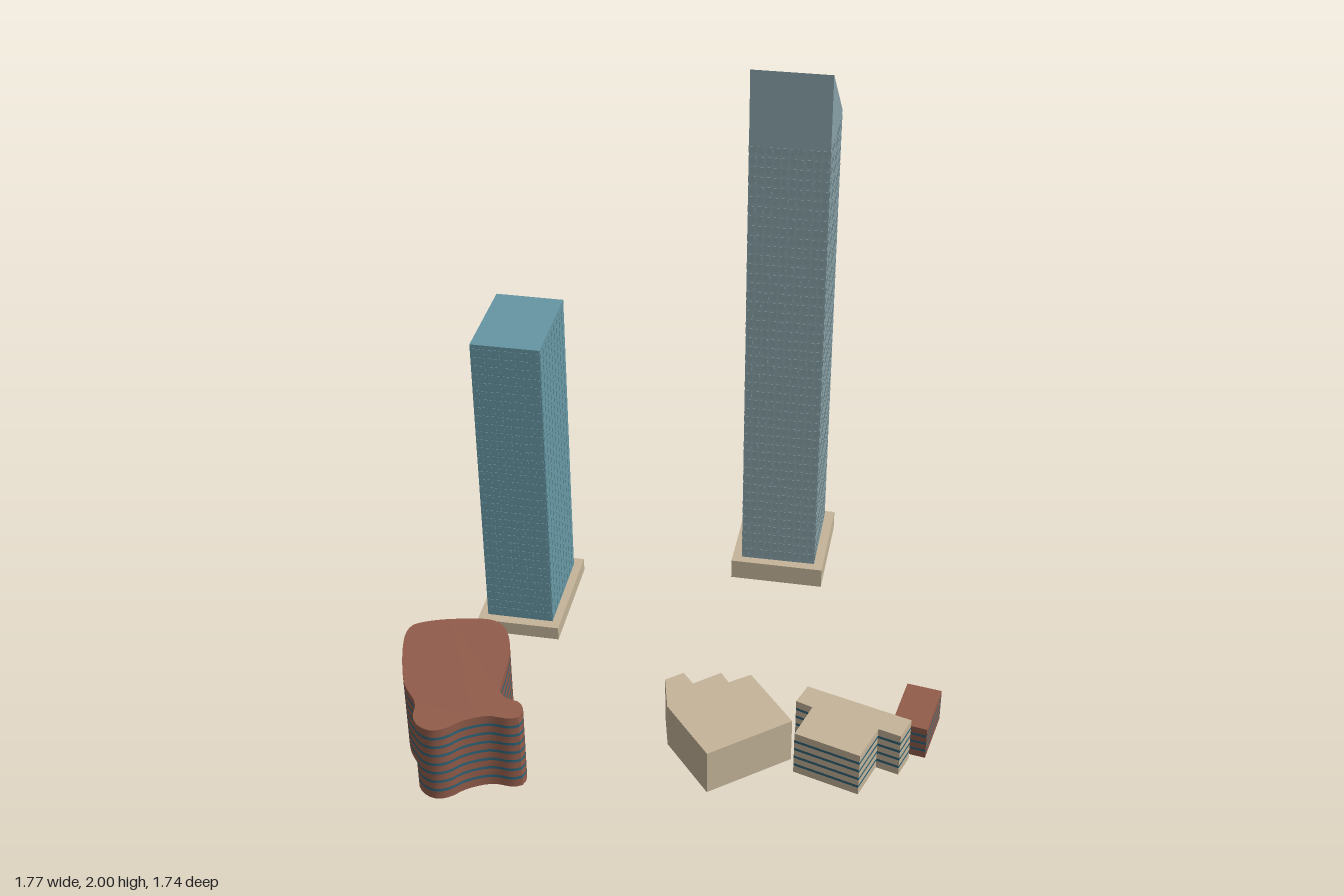
import * as THREE from 'three';
import { mergeGeometries, toCreasedNormals } from 'three/addons/utils/BufferGeometryUtils.js';

const paint = (color) => new THREE.MeshStandardMaterial({ color });
const brick = paint(0x915c4a), stone = paint(0xc4b499), glass = paint(0x2f6478);

function part(parent, name, geometry, material) {
  const mesh = new THREE.Mesh(geometry, material);
  mesh.name = name;
  parent.add(mesh);
  return mesh;
}

// Plan outlines are lists of [x, z]; returned counter-clockwise seen from above.
function outline(plan) {
  const pts = plan.map(([x, z]) => new THREE.Vector2(x, -z));
  return THREE.ShapeUtils.area(pts) < 0 ? pts.reverse() : pts;
}

// Solid block on the ground, optionally with a hole in plan.
function prism(plan, height, hole) {
  const shape = new THREE.Shape(outline(plan));
  if (hole) shape.holes.push(new THREE.Path(outline(hole)));
  return new THREE.ExtrudeGeometry(shape, { depth: height, bevelEnabled: false }).rotateX(-Math.PI / 2);
}

// Strip of outer wall between two heights.
function wall(pts, y0, y1) {
  const pos = [];
  pts.forEach((a, i) => {
    const b = pts[(i + 1) % pts.length];
    pos.push(a.x, y0, -a.y, b.x, y0, -b.y, b.x, y1, -b.y);
    pos.push(a.x, y0, -a.y, b.x, y1, -b.y, a.x, y1, -a.y);
  });
  const g = new THREE.BufferGeometry();
  g.setAttribute('position', new THREE.Float32BufferAttribute(pos, 3));
  g.computeVertexNormals();
  return toCreasedNormals(g, 0.5);
}

// Low building with a ribbon of windows at every floor line.
function bandedBuilding(name, plan, height, floors, material) {
  const group = new THREE.Group();
  group.name = name;
  const pts = outline(plan), step = height / floors, half = step * 0.15;
  const walls = [], ribbons = [];
  for (let i = 0; i < floors; i++) {
    const low = i ? i * step + half : 0;
    const high = i < floors - 1 ? (i + 1) * step - half : height;
    walls.push(wall(pts, low, high));
    if (i) ribbons.push(wall(pts, i * step - half, i * step + half));
  }
  part(group, 'walls', mergeGeometries(walls), material);
  part(group, 'windowRibbons', mergeGeometries(ribbons), glass);
  const shape = new THREE.Shape(pts);
  const roof = new THREE.ShapeGeometry(shape).rotateX(-Math.PI / 2).translate(0, height, 0);
  part(group, 'roof', roof, material);
  part(group, 'floor', new THREE.ShapeGeometry(shape).rotateX(Math.PI / 2).scale(1, 1, -1), material)
    .geometry = flip(new THREE.ShapeGeometry(shape).rotateX(-Math.PI / 2));
  return group;
}

// Turn a flat sheet over so that it faces down.
function flip(g) {
  g.index.array.reverse();
  g.computeVertexNormals();
  return g;
}

// Tower: shaft with thin window panels, standing in a stone plinth.
// Corners run back left, back right, front right, front left.
function tower(name, o) {
  const group = new THREE.Group();
  group.name = name;
  part(group, 'plinth', prism(o.base, o.baseHeight, o.plan), stone);

  const shaft = prism(o.plan, o.backHeight);
  const p = shaft.attributes.position;
  const middle = (o.plan[0][1] + o.plan[2][1]) / 2;
  for (let i = 0; i < p.count; i++) {
    if (p.getY(i) > 0.1 && p.getZ(i) > middle) p.setY(i, o.frontHeight);
  }
  shaft.computeVertexNormals();
  part(group, 'shaft', shaft, paint(o.color));

  const panels = [];
  const rise = (o.backHeight - o.baseHeight - 0.02) / o.floors;
  o.plan.forEach(([ax, az], side) => {
    const [bx, bz] = o.plan[(side + 1) % 4];
    const length = Math.hypot(bx - ax, bz - az), width = length / o.columns;
    for (let c = 0; c < o.columns; c++) {
      const t = (c + 0.5) / o.columns;
      for (let f = 0; f < o.floors; f++) {
        panels.push(new THREE.BoxGeometry(width * 0.72, rise * 0.7, 0.003)
          .rotateY(-Math.atan2(bz - az, bx - ax))
          .translate(ax + (bx - ax) * t, o.baseHeight + 0.01 + (f + 0.5) * rise, az + (bz - az) * t));
      }
    }
  });
  part(group, 'windowPanels', mergeGeometries(panels), paint(o.windowColor));
  return group;
}

export function createModel() {
  const model = new THREE.Group();
  model.name = 'cityBlock';

  model.add(tower('tallTower', {
    plan: [[0.053, -0.826], [0.32, -0.84], [0.334, -0.533], [0.067, -0.519]],
    base: [[0.017, -0.859], [0.353, -0.873], [0.367, -0.5], [0.034, -0.486]],
    baseHeight: 0.075, backHeight: 1.75, frontHeight: 2,
    floors: 46, columns: 10, color: 0x87a1a7, windowColor: 0x839ba0,
  }));
  model.add(tower('shortTower', {
    plan: [[-0.768, -0.358], [-0.535, -0.368], [-0.518, -0.028], [-0.753, -0.017]],
    base: [[-0.8, -0.392], [-0.507, -0.406], [-0.488, 0.006], [-0.781, 0.02]],
    baseHeight: 0.05, backHeight: 1.17, frontHeight: 1.17,
    floors: 34, columns: 9, color: 0x6596a3, windowColor: 0x6898a5,
  }));

  // Free-form brick building
  const bends = [
    [-0.875, 0.378], [-0.82, 0.343], [-0.73, 0.312], [-0.627, 0.295], [-0.578, 0.318], [-0.54, 0.378],
    [-0.517, 0.45], [-0.503, 0.545], [-0.489, 0.64], [-0.46, 0.665], [-0.42, 0.672], [-0.394, 0.7],
    [-0.394, 0.74], [-0.42, 0.757], [-0.493, 0.76], [-0.568, 0.803], [-0.606, 0.846], [-0.645, 0.865],
    [-0.687, 0.855], [-0.72, 0.822], [-0.738, 0.752], [-0.8, 0.675], [-0.847, 0.567], [-0.88, 0.458],
    [-0.885, 0.412],
  ];
  const curve = new THREE.CatmullRomCurve3(bends.map(([x, z]) => new THREE.Vector3(x, 0, z)), true);
  const blob = curve.getSpacedPoints(80).slice(0, 80).map((v) => [v.x, v.z]);
  model.add(bandedBuilding('curvedBuilding', blob, 0.29, 8, brick));

  // Plain stone hall with a stepped back
  part(model, 'steppedHall', prism([
    [-0.022, 0.322], [0.03, 0.274], [0.073, 0.32], [0.153, 0.246], [0.187, 0.288],
    [0.252, 0.234], [0.428, 0.43], [0.192, 0.643], [0.016, 0.45],
  ], 0.165), stone);

  // T-shaped stone building and small brick annex
  model.add(bandedBuilding('teeBuilding', [
    [0.447, 0.25], [0.805, 0.34], [0.782, 0.425], [0.706, 0.406],
    [0.668, 0.545], [0.446, 0.487], [0.48, 0.349], [0.423, 0.331],
  ], 0.165, 5, stone));
  model.add(bandedBuilding('brickAnnex', [
    [0.763, 0.111], [0.88, 0.124], [0.857, 0.326], [0.741, 0.312],
  ], 0.122, 4, brick));

  return model;
}
